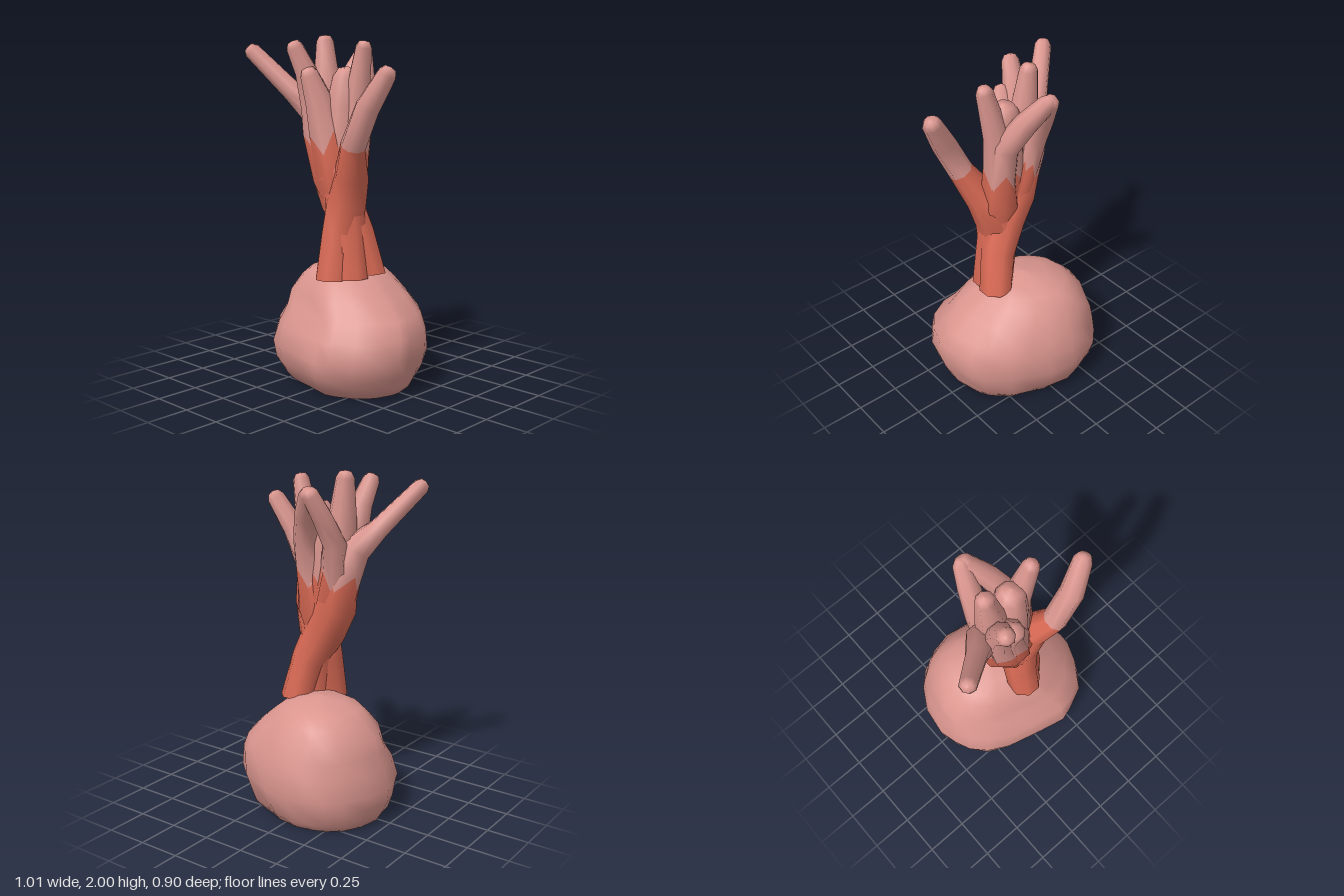
import * as THREE from 'three';

const pink = new THREE.MeshStandardMaterial({ color: 0xdb968f });
pink.name = 'dusty pink';
const red = new THREE.MeshStandardMaterial({ color: 0xda6a55 });
red.name = 'coral red';

// Skin closed rings (arrays of Vector3, bottom to top); rows below redRows are red
function skin(name, rings, redRows) {
  const n = rings[0].length, index = [];
  for (let i = 0; i < rings.length - 1; i++) {
    for (let j = 0; j < n; j++) {
      const a = i * n + j, b = i * n + (j + 1) % n;
      index.push(a, b, a + n, b, b + n, a + n);
    }
  }
  const geo = new THREE.BufferGeometry().setFromPoints(rings.flat());
  geo.setIndex(index);
  geo.computeVertexNormals();
  const split = redRows * n * 6;
  if (split > 0) geo.addGroup(0, split, 0);
  geo.addGroup(split, index.length - split, 1);
  const mesh = new THREE.Mesh(geo, [red, pink]);
  mesh.name = name;
  return mesh;
}

// Tapered branch along points [x, y, z, radius]; the point at COLOR_Y carries the jagged colour line
const COLOR_Y = 1.4, SIDES = 8;
function branch(name, pts, jag = 0.06) {
  const pos = pts.map(p => new THREE.Vector3(p[0], p[1], p[2]));
  const last = pts.length - 1;
  const rings = [];
  let redRows = 0;
  const ring = (c, t, r, zig = 0) => {
    const u = new THREE.Vector3(1, 0, 0).addScaledVector(t, -t.x).normalize();
    const v = new THREE.Vector3().crossVectors(t, u);
    rings.push(Array.from({ length: SIDES }, (_, j) => {
      const a = (j + 0.5) / SIDES * Math.PI * 2;
      return c.clone().addScaledVector(u, Math.cos(a) * r).addScaledVector(v, Math.sin(a) * r)
        .addScaledVector(t, j % 2 ? zig : -zig);
    }));
  };
  pos.forEach((p, i) => {
    const t = pos[Math.min(i + 1, last)].clone().sub(pos[Math.max(i - 1, 0)]).normalize();
    const r = pts[i][3];
    if (i === 0) {                      // flat foot
      t.set(0, 1, 0);
      ring(p, t, 0);
      ring(p, t, r);
    }
    if (pts[i][1] === COLOR_Y) redRows = rings.length;
    ring(p, t, r, pts[i][1] === COLOR_Y ? jag : 0);
    if (i === last) {                   // blunt tip
      ring(p.clone().addScaledVector(t, r * 0.6), t, r * 0.65);
      ring(p.clone().addScaledVector(t, r * 0.75), t, 0);
    }
  });
  return skin(name, rings, redRows || rings.length - 1);
}

// Boulder: one outline in plan, stretched to the extents of every level
function boulder() {
  const plan = [[.5, .04], [.46, -.13], [.42, -.21], [.3, -.33], [.19, -.37], [.07, -.43], [-.09, -.455],
    [-.21, -.43], [-.3, -.39], [-.39, -.31], [-.46, -.17], [-.49, 0], [-.465, .12], [-.42, .2],
    [-.34, .29], [-.22, .36], [0, .41], [.155, .45], [.24, .43], [.37, .36], [.455, .25], [.495, .12]];
  // y, xMin, xMax, zMin, zMax
  const levels = [[0, -.42, .4, -.35, .32], [.05, -.45, .43, -.39, .37], [.12, -.475, .465, -.42, .42],
    [.22, -.495, .5, -.455, .45], [.34, -.465, .495, -.44, .42], [.43, -.44, .44, -.415, .34],
    [.52, -.41, .35, -.38, .3], [.6, -.34, .25, -.33, .24], [.65, -.28, .19, -.27, .19],
    [.685, -.18, .11, -.18, .12]];
  const level = ([y, x0, x1, z0, z1], k) => plan.map(([x, z], j) => {
    const bump = 1 + (k ? 0.012 * Math.sin(j * 2.1 + k * 1.7) : 0);
    return new THREE.Vector3(
      (x0 + x1) / 2 + (x1 - x0) / 2 * (x / .495) * bump, y,
      (z0 + z1) / 2 + (z1 - z0) / 2 * (z / .4525) * bump);
  });
  const point = (x, y, z) => plan.map(() => new THREE.Vector3(x, y, z));
  return skin('boulder', [point(0, 0, 0), ...levels.map(level), point(-.04, .705, -.04)], 0);
}

export function createModel() {
  const model = new THREE.Group();
  model.name = 'branchingCoral';
  model.add(boulder());

  // Two trunks joined by a bridge, running out into the long side arms
  model.add(branch('trunkAndRightArm', [[.155, .66, -.01, .1], [.1, .88, .03, .105], [.015, 1.06, .07, .125],
    [-.055, 1.22, .07, .13], [-.11, 1.4, .06, .115], [-.19, 1.57, .08, .09], [-.29, 1.68, .16, .06],
    [-.465, 1.91, .31, .048]]));
  model.add(branch('trunkAndLeftArm', [[.045, .635, .18, .1], [.05, .88, .13, .105], [.07, 1.06, .09, .12],
    [.14, 1.23, .12, .1], [.225, 1.4, .2, .072], [.33, 1.61, .2, .07], [.43, 1.79, .155, .055]], 0));
  model.add(branch('trunkBridge', [[.115, .64, .1, .105], [.085, .88, .09, .11], [.05, 1.06, .085, .12],
    [.04, 1.25, .085, .11]]));

  // Crown of shorter branches growing together from the waist
  const crown = new THREE.Group();
  crown.name = 'crown';
  crown.add(
    branch('frontBranch', [[.03, 1, .09, .08], [-.03, 1.2, .11, .11], [-.08, 1.4, .13, .105],
      [-.12, 1.6, .14, .09], [-.15, 1.8, .19, .065], [-.175, 1.93, .25, .05]]),
    branch('frontRidge', [[.03, 1, .09, .08], [0, 1.2, .11, .11], [-.03, 1.4, .13, .105],
      [-.07, 1.62, .16, .085], [-.09, 1.78, .22, .055]]),
    branch('innerBranch', [[.03, 1, .08, .08], [-.02, 1.2, .07, .11], [-.07, 1.4, .06, .11],
      [-.11, 1.7, .06, .085], [-.135, 1.96, .05, .053]]),
    branch('sideBranch', [[.05, 1, .08, .08], [.065, 1.2, .06, .115], [.075, 1.4, .04, .095],
      [.1, 1.65, .035, .075], [.165, 1.93, .05, .048]]),
    branch('middleWeb', [[.04, 1, .08, .08], [.02, 1.2, .07, .11], [.01, 1.4, .07, .115],
      [.02, 1.6, .06, .105], [.035, 1.76, .05, .085]]),
    branch('rearArchRightLeg', [[.03, 1, .08, .08], [-.03, 1.2, .05, .1], [-.09, 1.4, .02, .085],
      [-.12, 1.6, -.03, .07], [-.1, 1.76, -.12, .06], [-.075, 1.89, -.195, .05]]),
    branch('rearArchLeftLeg', [[.05, 1, .08, .08], [.065, 1.2, .05, .105], [.08, 1.4, .02, .085],
      [.08, 1.6, -.02, .075], [.015, 1.76, -.11, .065], [-.06, 1.89, -.195, .05]])
  );
  model.add(crown);
  return model;
}
